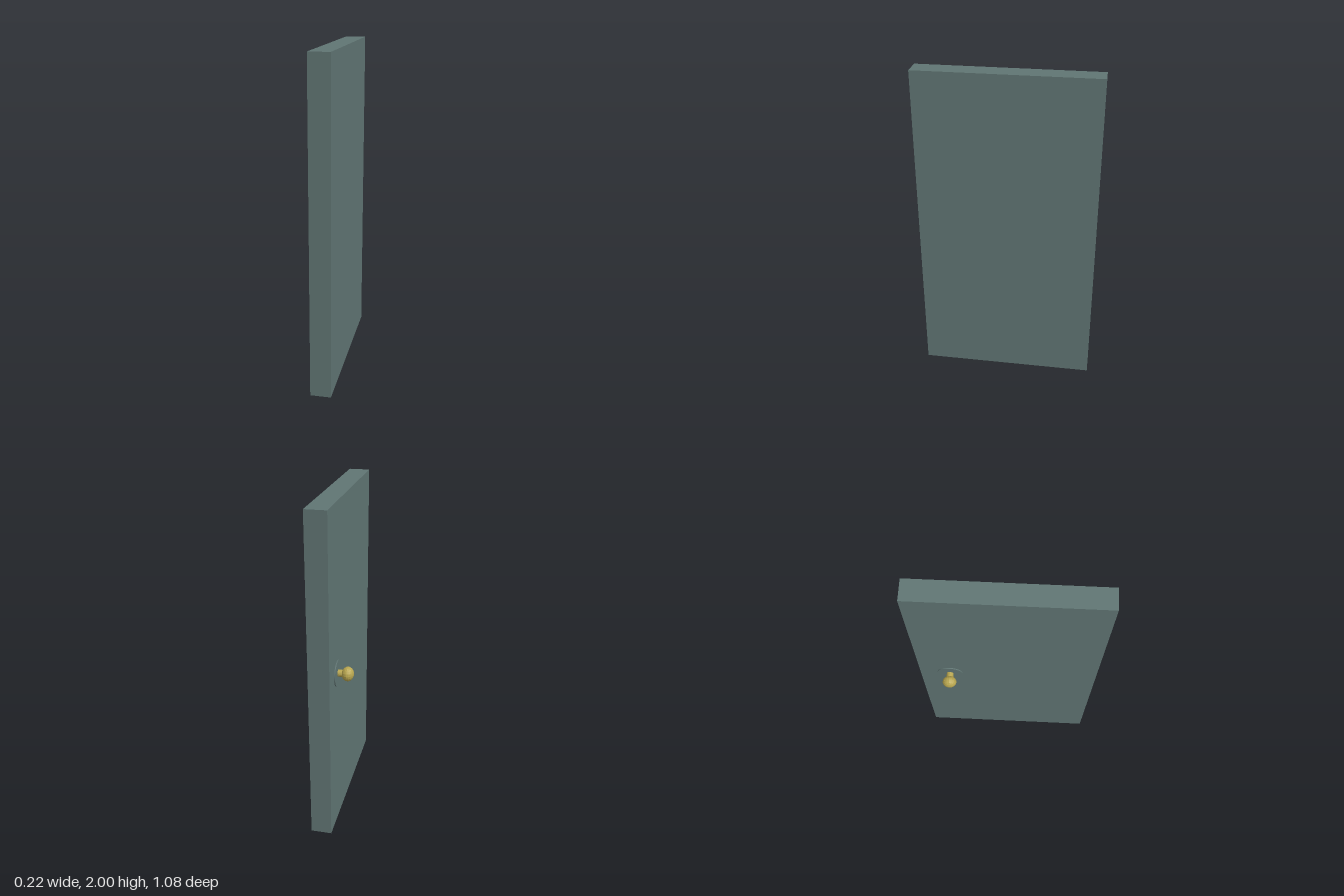
import * as THREE from 'three';

export function createModel() {
  const group = new THREE.Group();
  const slate = new THREE.MeshStandardMaterial({ color: 0x607573 });
  slate.name = 'slate paint';
  const brass = new THREE.MeshStandardMaterial({ color: 0xb8a650, flatShading: true });
  brass.name = 'brass';

  const add = (name, geometry, material, x, y, z) => {
    const mesh = new THREE.Mesh(geometry, material);
    mesh.name = name;
    mesh.position.set(x, y, z);
    group.add(mesh);
    return mesh;
  };
  const knobY = 1.01, knobZ = -0.357;

  // Door slab
  add('doorPanel', new THREE.BoxGeometry(0.125, 2, 1.084), slate, 0.0485, 1, 0);

  // Round backing plate, its axis along x
  add('backPlate', new THREE.CylinderGeometry(0.078, 0.078, 0.007, 32).rotateZ(Math.PI / 2),
    slate, -0.0165, knobY, knobZ);

  // Knob stem
  add('knobStem', new THREE.CylinderGeometry(0.021, 0.021, 0.04, 16).rotateZ(Math.PI / 2),
    brass, -0.034, knobY, knobZ);

  // Slightly flattened knob ball, poles along x
  const ball = new THREE.SphereGeometry(0.043, 16, 10).rotateZ(Math.PI / 2).scale(0.83, 1, 1);
  add('knob', ball, brass, -0.0765, knobY, knobZ);

  return group;
}
